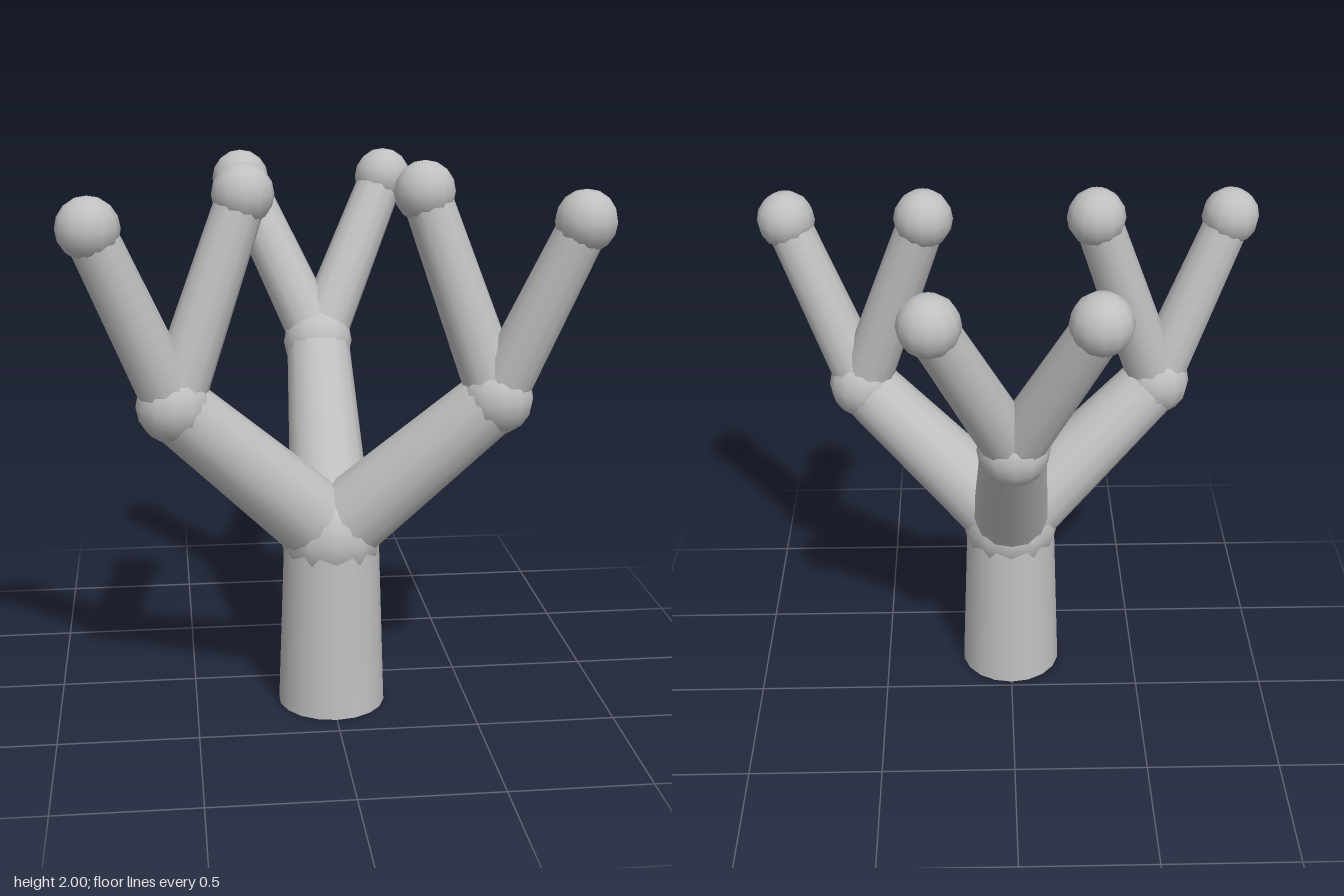
import * as THREE from 'three';

const grey = new THREE.MeshStandardMaterial({ color: 0xc0c0c0 });
grey.name = 'plain grey';

const V = (x, y, z) => new THREE.Vector3(x, y, z);

// Tapered limb running from point a to point b
function limb(name, a, b, ra, rb, sides = 14, open = true) {
  const dir = b.clone().sub(a);
  const geo = new THREE.CylinderGeometry(rb, ra, dir.length(), sides, 1, open);
  const mesh = new THREE.Mesh(geo, grey);
  mesh.name = name;
  mesh.position.copy(a).add(b).multiplyScalar(0.5);
  mesh.quaternion.setFromUnitVectors(V(0, 1, 0), dir.normalize());
  return mesh;
}

// Rounded knob at a fork or a tip
function ball(name, p, r) {
  const mesh = new THREE.Mesh(new THREE.SphereGeometry(r, 12, 8), grey);
  mesh.name = name;
  mesh.position.copy(p);
  return mesh;
}

// One main branch, its fork knob and two knobbed twigs
function branch(name, base, fork, tips) {
  const g = new THREE.Group();
  g.name = name;
  g.add(limb('mainBranch', base, fork, 0.15, 0.118));
  g.add(ball('forkKnob', fork, 0.13));
  for (const tip of tips) {
    g.add(limb('twig', fork, tip, 0.1, 0.085, 12));
    g.add(ball('tipKnob', tip, 0.107));
  }
  return g;
}

export function createModel() {
  const model = new THREE.Group();
  model.name = 'branchingTree';

  // Trunk and its crown knob
  const crown = V(0, 0.65, 0.217);
  model.add(limb('trunk', V(0, 0, 0.217), crown, 0.195, 0.172, 18, false));
  model.add(ball('crownKnob', crown, 0.187));

  // Mirrored side branches, leaning forward
  for (const s of [1, -1]) {
    model.add(branch(s > 0 ? 'leftBranch' : 'rightBranch', crown, V(0.56 * s, 1.185, 0.38), [
      V(0.823 * s, 1.813, 0.49),
      V(0.31 * s, 1.893, 0.295),
    ]));
  }

  // Rear branch
  model.add(branch('backBranch', crown, V(0, 1.26, -0.26), [
    V(0.275, 1.855, -0.49),
    V(-0.275, 1.855, -0.49),
  ]));
  return model;
}
